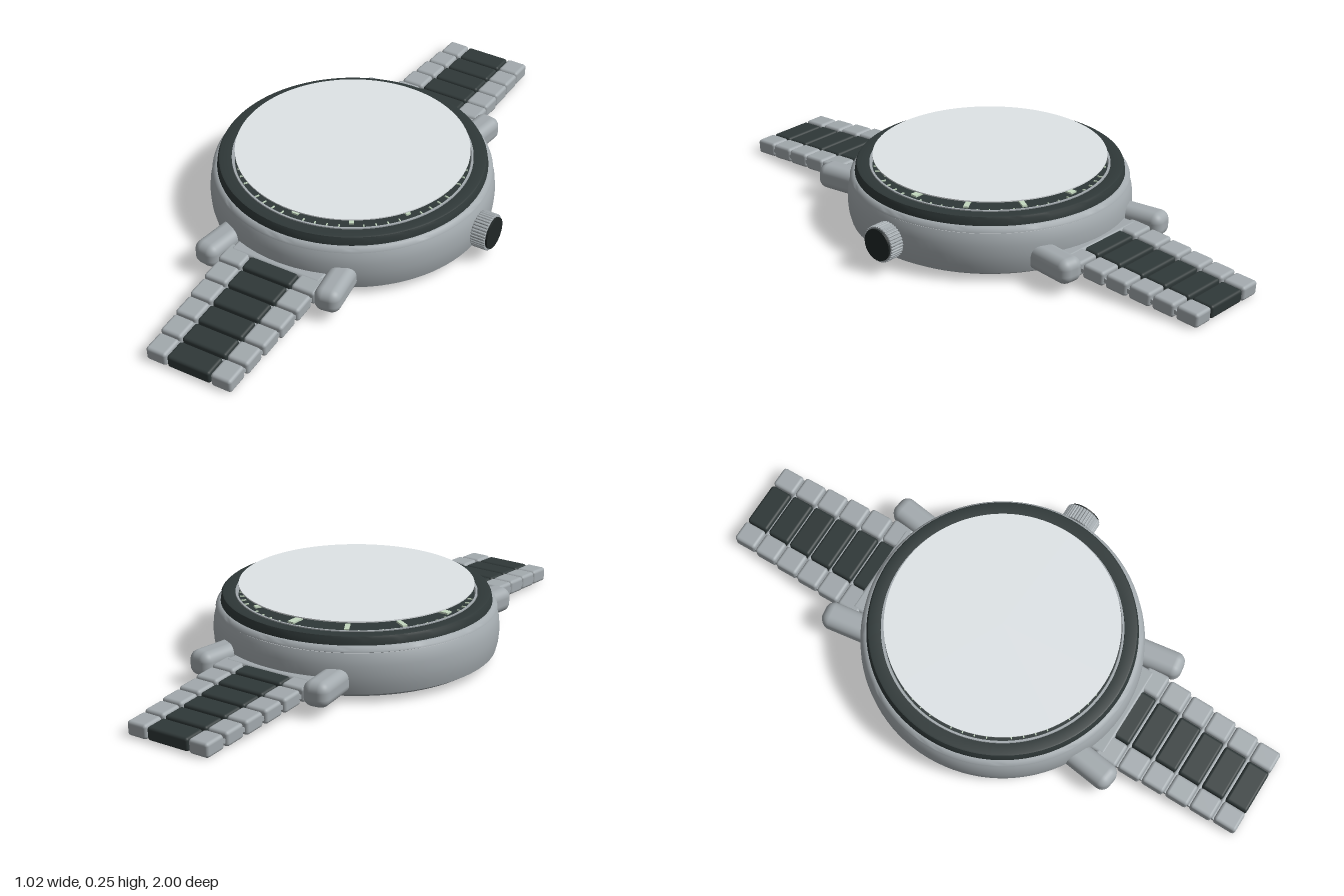
import * as THREE from 'three';
import { toCreasedNormals } from 'three/addons/utils/BufferGeometryUtils.js';
import { RoundedBoxGeometry } from 'three/addons/geometries/RoundedBoxGeometry.js';

const material = (name, color) => {
  const m = new THREE.MeshStandardMaterial({ color });
  m.name = name;
  return m;
};

export function createModel() {
  const steel = material('steel', 0xa3aaae);
  const dark = material('dark ceramic', 0x2f3838);
  const black = material('black cap', 0x202626);
  const glass = material('pale glass', 0xdfe4e7);
  const backSteel = material('back steel', 0xb8bcbf);
  const lume = material('pale green lume', 0xc4d8c0);

  const root = new THREE.Group();
  root.name = 'wristwatch';
  const watch = new THREE.Group();
  watch.name = 'watch';
  watch.position.x = -0.032; // the crown shifts the case off centre
  root.add(watch);

  const add = (name, geometry, mat, x = 0, y = 0, z = 0, parent = watch) => {
    const mesh = new THREE.Mesh(geometry, mat);
    mesh.name = name;
    mesh.position.set(x, y, z);
    parent.add(mesh);
    return mesh;
  };
  const lathe = (points) => toCreasedNormals(
    new THREE.LatheGeometry(points.map(([r, y]) => new THREE.Vector2(r, y)), 96), 0.6);
  const disc = (r, h, seg = 96) => new THREE.CylinderGeometry(r, r, h, seg);

  // Case: bulging side, stepped shoulder under the bezel
  add('case', lathe([
    [0.43, 0.013], [0.447, 0.017], [0.472, 0.032], [0.479, 0.06], [0.482, 0.095],
    [0.48, 0.13], [0.474, 0.155], [0.467, 0.17],
  ]), steel);
  add('shoulder', lathe([
    [0.464, 0.17], [0.473, 0.174], [0.471, 0.18], [0.463, 0.189], [0.455, 0.192], [0.39, 0.192],
  ]), steel);
  add('caseBack', disc(0.431, 0.004), backSteel, 0, 0.015, 0);

  // Bezel: dark ring with a thin steel lip inside
  add('bezel', lathe([
    [0.454, 0.188], [0.456, 0.192], [0.453, 0.212], [0.449, 0.22], [0.444, 0.222],
    [0.407, 0.219], [0.404, 0.205],
  ]), dark);
  add('bezelLip', lathe([[0.406, 0.2], [0.406, 0.222], [0.399, 0.222], [0.395, 0.208]]), steel);

  // Dial with hour markers and minute ticks
  add('dial', disc(0.402, 0.012), dark, 0, 0.204, 0);
  for (let i = 0; i < 60; i++) {
    const a = i * Math.PI / 30;
    const hour = i % 5 === 0;
    const r = hour ? 0.345 : 0.384;
    const size = hour ? [i % 15 ? 0.016 : 0.024, 0.008, 0.05] : [0.004, 0.004, 0.016];
    const marker = add(hour ? 'hourMarker' : 'minuteTick', new THREE.BoxGeometry(...size),
      lume, Math.sin(a) * r, 0.212, Math.cos(a) * r);
    marker.rotation.y = a;
  }

  // Steel hands with a lume strip, turned about the centre pin
  const hand = (name, length, tail, width, y, angle) => {
    const pivot = new THREE.Group();
    pivot.name = name;
    pivot.position.y = y;
    pivot.rotation.y = angle;
    watch.add(pivot);
    add(name + 'Blade', new THREE.BoxGeometry(length + tail, 0.003, width), steel,
      (length - tail) / 2, 0, 0, pivot);
    add(name + 'Lume', new THREE.BoxGeometry(length * 0.5, 0.002, width * 0.5), lume,
      length * 0.6, 0.002, 0, pivot);
  };
  hand('hourHand', 0.17, 0.02, 0.022, 0.227, Math.PI * 0.79);
  hand('minuteHand', 0.31, 0.02, 0.016, 0.229, Math.PI * 0.23);
  const second = add('secondHand', new THREE.BoxGeometry(0.14, 0.002, 0.005), lume, 0.09, 0.238, -0.05);
  second.rotation.y = 0.55;
  add('handPin', disc(0.024, 0.014, 24), steel, 0, 0.232, 0);
  add('handPinCap', disc(0.014, 0.008, 24), steel, 0, 0.242, 0);

  // Flat crystal above the hands
  add('crystal', disc(0.395, 0.004), glass, 0, 0.248, 0);

  // Case back: raised window disc, rim and six screws
  add('backPlate', disc(0.322, 0.006), backSteel, 0, 0.012, 0);
  const rim = add('backRim', new THREE.TorusGeometry(0.318, 0.003, 8, 96), backSteel, 0, 0.011, 0);
  rim.rotation.x = Math.PI / 2;
  for (let i = 0; i < 6; i++) {
    const a = i * Math.PI / 3;
    const x = Math.cos(a) * 0.39;
    const z = Math.sin(a) * 0.39;
    add('screwNeck', disc(0.008, 0.008, 16), backSteel, x, 0.011, z);
    add('screwHead', disc(0.013, 0.007, 16), glass, x, 0.0065, z);
  }

  // Crown: stem, fluted grip and black cap, lying along x
  const crown = new THREE.Group();
  crown.name = 'crown';
  crown.position.set(0.5, 0.097, 0);
  crown.rotation.z = -Math.PI / 2;
  watch.add(crown);
  add('crownStem', disc(0.035, 0.05, 24), steel, 0, -0.02, 0, crown);
  const flutes = new THREE.Shape();
  for (let i = 0; i < 144; i++) {
    const a = i / 144 * Math.PI * 2;
    const r = i % 4 < 2 ? 0.062 : 0.059;
    flutes[i ? 'lineTo' : 'moveTo'](Math.cos(a) * r, Math.sin(a) * r);
  }
  const gripGeometry = new THREE.ExtrudeGeometry(flutes, { depth: 0.046, bevelEnabled: true,
    bevelSize: 0.001, bevelThickness: 0.003, bevelSegments: 1 });
  gripGeometry.rotateX(-Math.PI / 2);
  add('crownGrip', gripGeometry, steel, 0, -0.014, 0, crown);
  add('crownCap', disc(0.055, 0.007, 40), black, 0, 0.0385, 0, crown);

  // Lugs and bracelet, the same on both ends
  for (const end of [1, -1]) {
    const strap = new THREE.Group();
    strap.name = end > 0 ? 'frontStrap' : 'backStrap';
    strap.rotation.y = end > 0 ? 0 : Math.PI;
    watch.add(strap);

    for (const s of [1, -1]) {
      const lug = add('lug', new RoundedBoxGeometry(0.09, 0.086, 0.24, 5, 0.032), steel,
        s * 0.216, 0.077, 0.452, strap);
      lug.rotation.y = s * 0.14;
    }
    add('endPiece', new RoundedBoxGeometry(0.34, 0.05, 0.1, 2, 0.01), steel, 0, 0.066, 0.45, strap);

    // Six rows of links, narrowing and dropping outward
    for (let i = 0; i < 6; i++) {
      const half = 0.184 - i * 0.0052;
      const mid = 0.096 - i * 0.0026;
      const row = new THREE.Group();
      row.name = 'linkRow';
      row.position.set(0, 0.0635 - i * 0.007, 0.51 + i * 0.0895);
      row.rotation.x = 0.06;
      strap.add(row);
      add('centreLink', new RoundedBoxGeometry(mid * 2 - 0.007, 0.046, 0.081, 3, 0.01), dark,
        0, 0, 0, row);
      for (const s of [1, -1]) {
        add('sideLink', new RoundedBoxGeometry(half - mid, 0.05, 0.083, 3, 0.011), steel,
          s * (half + mid) / 2, 0, 0, row);
      }
      if (i < 5) {
        const pin = add('linkPin', new THREE.CylinderGeometry(0.008, 0.008, half * 1.9, 10), steel,
          0, -0.003, 0.045, row);
        pin.rotation.z = Math.PI / 2;
      }
    }
  }
  return root;
}
